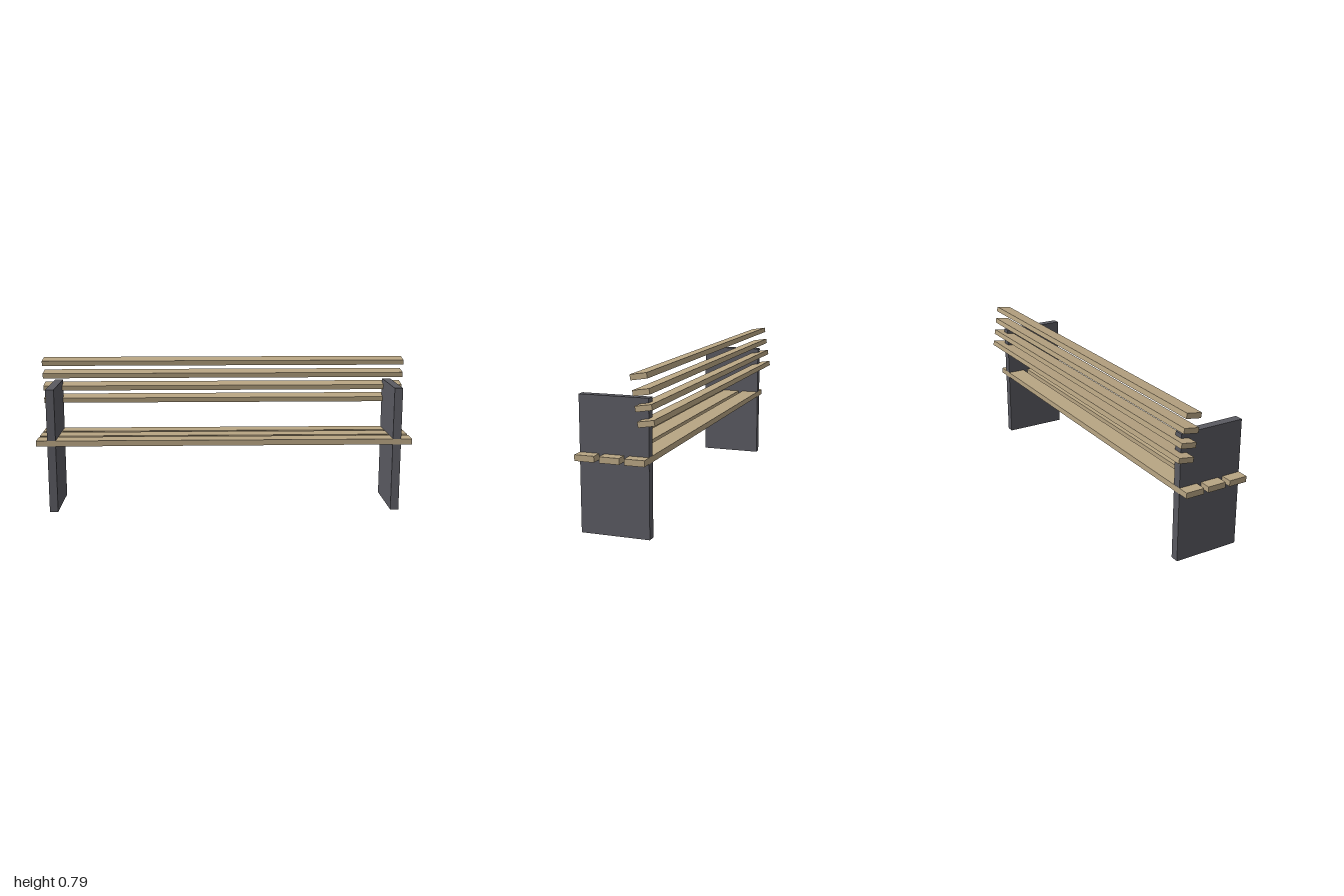
import * as THREE from 'three';

export function createModel() {
  const bench = new THREE.Group();
  bench.name = 'bench';

  const wood = new THREE.MeshStandardMaterial({ color: 0xb8a583 });
  wood.name = 'wood';
  const darkGrey = new THREE.MeshStandardMaterial({ color: 0x5a5a61 });
  darkGrey.name = 'dark grey';

  function addBox(name, material, size, position, tilt = 0) {
    const mesh = new THREE.Mesh(new THREE.BoxGeometry(...size), material);
    mesh.name = name;
    mesh.position.set(...position);
    mesh.rotation.x = tilt;
    bench.add(mesh);
  }

  // Upright end panels
  for (const [side, name] of [[1, 'leftEndPanel'], [-1, 'rightEndPanel']]) {
    addBox(name, darkGrey, [0.044, 0.666, 0.347], [side * 0.919, 0.333, 0.0265]);
  }

  // Seat slats, a hair proud of the panel edges
  for (let i = 0; i < 3; i++) {
    addBox(`seatSlat${i + 1}`, wood, [2, 0.03, 0.099], [0, 0.377, 0.151 - i * 0.1245]);
  }

  // Tilted backrest slats, stepping forward as they rise
  const tilt = THREE.MathUtils.degToRad(9);
  for (let i = 0; i < 4; i++) {
    addBox(`backSlat${i + 1}`, wood, [2, 0.027, 0.082],
      [0, 0.56 + i * 0.0707, -0.157 + i * 0.0113], tilt);
  }

  return bench;
}
